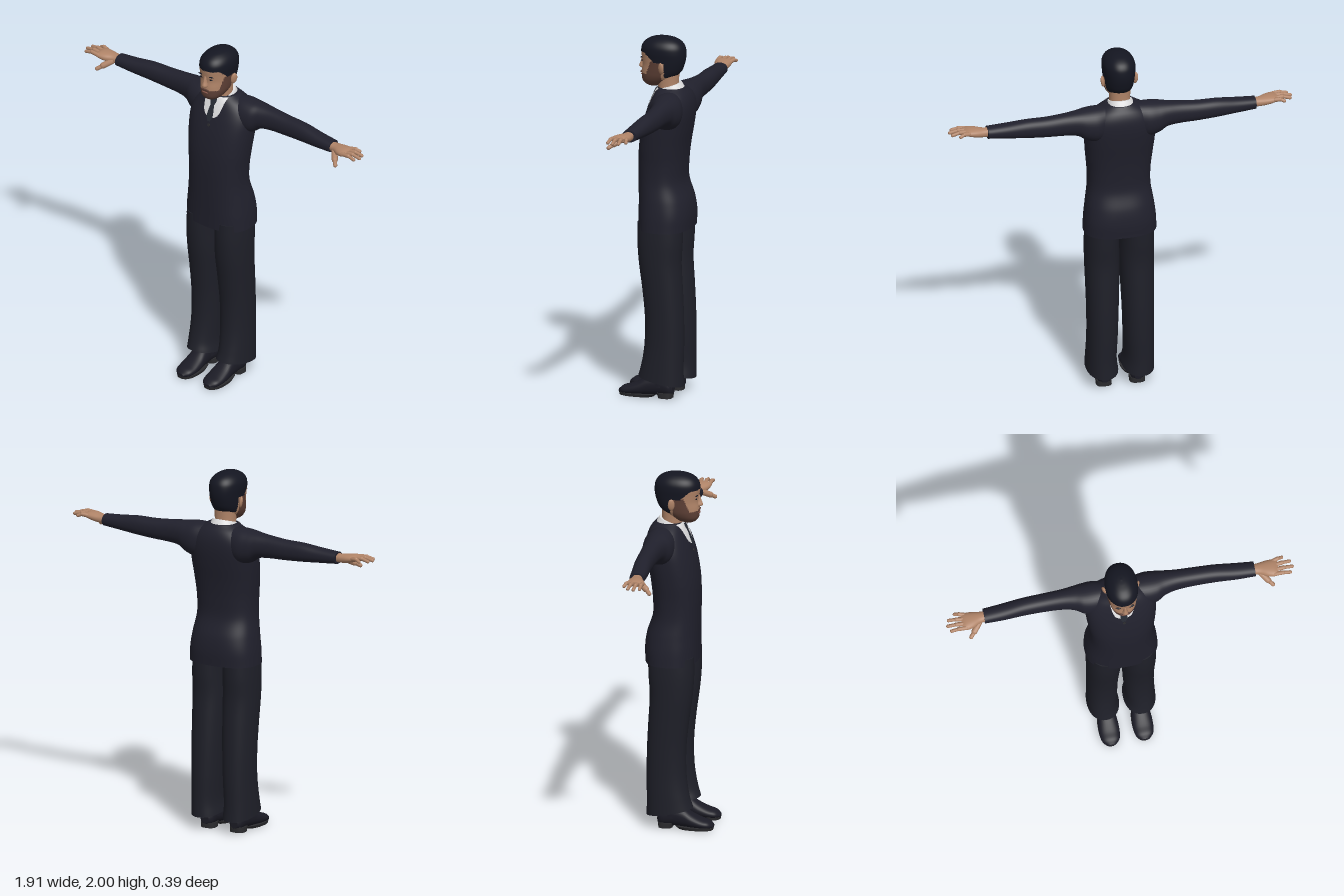
import * as THREE from 'three';

const colour = (name, hex) => {
  const m = new THREE.MeshStandardMaterial({ color: hex });
  m.name = name;
  return m;
};

// Smooth profile through rows of [s, u0, u1, v0, v1, roundness]
function profile(rows) {
  const a = new THREE.CatmullRomCurve3(rows.map(r => new THREE.Vector3(r[0], r[1], r[2])), false, 'catmullrom');
  const b = new THREE.CatmullRomCurve3(rows.map(r => new THREE.Vector3(r[3], r[4], r[5] ?? 2.2)), false, 'catmullrom');
  return t => [...a.getPoint(t).toArray(), ...b.getPoint(t).toArray()];
}

// Axis y: u = x, v = z.  Axis x: u = z, v = y.  Axis z: u = y, v = x.
const PLACE = {
  y: (s, u, v) => [u, s, v],
  x: (s, u, v) => [s, v, u],
  z: (s, u, v) => [v, u, s],
};

// Closed loft of rounded sections; classify picks a material index per triangle
function loft(rows, axis, { n = 40, m = 40, warp = null, classify = null } = {}) {
  const at = profile(rows), pos = [], faces = [];
  const add = p => { const q = warp ? warp(p) : p; pos.push(...q); };
  const pw = (c, e) => Math.sign(c) * Math.abs(c) ** e;
  const ring = t => {
    const [s, u0, u1, v0, v1, p] = at(t);
    for (let j = 0; j < n; j++) {
      const a = (j / n) * Math.PI * 2;
      add(PLACE[axis](s, (u0 + u1) / 2 + (u1 - u0) / 2 * pw(Math.cos(a), 2 / p),
        (v0 + v1) / 2 + (v1 - v0) / 2 * pw(Math.sin(a), 2 / p)));
    }
  };
  for (let i = 0; i <= m; i++) ring(i / m);
  for (let i = 0; i < m; i++) for (let j = 0; j < n; j++) {
    const a = i * n + j, b = i * n + (j + 1) % n;
    faces.push([a, a + n, b], [b, a + n, b + n]);
  }
  // end caps with their own vertices
  for (const t of [0, 1]) {
    const base = pos.length / 3, [s, u0, u1, v0, v1] = at(t);
    ring(t);
    add(PLACE[axis](s, (u0 + u1) / 2, (v0 + v1) / 2));
    for (let j = 0; j < n; j++) {
      const a = base + j, b = base + (j + 1) % n;
      faces.push(t ? [base + n, b, a] : [base + n, a, b]);
    }
  }
  const g = new THREE.BufferGeometry();
  g.setAttribute('position', new THREE.Float32BufferAttribute(pos, 3));
  const buckets = [[], [], []];
  for (const f of faces) {
    const c = [0, 1, 2].map(k => (pos[f[0] * 3 + k] + pos[f[1] * 3 + k] + pos[f[2] * 3 + k]) / 3);
    buckets[classify ? classify(...c) : 0].push(...f);
  }
  g.setIndex(buckets.flat());
  if (classify) {
    let start = 0;
    buckets.forEach((b, k) => { g.addGroup(start, b.length, k); start += b.length; });
  }
  g.computeVertexNormals();
  return g;
}

function mirrorX(geo) {
  const g = geo.clone().scale(-1, 1, 1), ix = g.index.array;
  for (let i = 0; i < ix.length; i += 3) [ix[i], ix[i + 1]] = [ix[i + 1], ix[i]];
  g.computeVertexNormals();
  return g;
}

// Front z of a vertical loft at a given x and y
function frontOf(rows) {
  const at = profile(rows);
  return (x, y) => {
    let lo = 0, hi = 1;
    for (let k = 0; k < 30; k++) { const t = (lo + hi) / 2; if (at(t)[0] < y) lo = t; else hi = t; }
    const [, u0, u1, v0, v1, p] = at(lo);
    const q = Math.min(1, Math.abs((x - (u0 + u1) / 2) / ((u1 - u0) / 2)));
    return (v0 + v1) / 2 + (v1 - v0) / 2 * (1 - q ** p) ** (1 / p);
  };
}

// Thin panel lying on a front surface; rows of [y, halfWidth], from the top down
function panel(rows, front, lift) {
  const nx = 16, ny = 30, g = new THREE.PlaneGeometry(1, 1, nx, ny), p = g.attributes.position;
  const curve = k => {
    const f = k * (rows.length - 1), i = Math.min(Math.floor(f), rows.length - 2), w = f - i;
    return rows[i].map((v, c) => v + (rows[i + 1][c] - v) * w);
  };
  for (let i = 0; i < p.count; i++) {
    const [y, hw] = curve(0.5 - p.getY(i)), x = p.getX(i) * 2 * hw;
    p.setXYZ(i, x, y, front(x, y) + lift);
  }
  g.computeVertexNormals();
  return g;
}

// Rounded finger segment between two points
function finger(a, b, r) {
  const A = new THREE.Vector3(...a), B = new THREE.Vector3(...b), d = B.clone().sub(A);
  const g = new THREE.CapsuleGeometry(r, d.length(), 5, 10);
  g.applyQuaternion(new THREE.Quaternion().setFromUnitVectors(new THREE.Vector3(0, 1, 0), d.normalize()));
  return g.translate(...A.add(B).multiplyScalar(0.5).toArray());
}

export function createModel() {
  const suit = colour('suit navy', 0x20202c), cloth = colour('trouser navy', 0x1e1f28);
  const hair = colour('hair black', 0x141621), skin = colour('skin', 0xb08468);
  const beard = colour('beard brown', 0x5e4036), white = colour('shirt white', 0xdededf);
  const tieMat = colour('tie dark', 0x262a33), leather = colour('shoe leather', 0x1b1b25);
  const soleMat = colour('sole grey', 0x2b2b2e), lip = colour('lips', 0x86564a);
  white.side = tieMat.side = THREE.DoubleSide;

  const model = new THREE.Group();
  model.name = 'standingMan';
  const add = (name, geo, mat) => {
    const mesh = new THREE.Mesh(geo, mat);
    mesh.name = name;
    model.add(mesh);
    return mesh;
  };
  const pair = (name, geo, mat) => {
    add(name + 'Left', geo, mat);
    add(name + 'Right', mirrorX(geo), mat);
  };

  // Jacket body
  const sym = (y, hw, back, front, p) => [y, -hw, hw, back, front, p];
  const body = [
    sym(0.94, 0.2, -0.19, 0.095, 2.5), sym(1.02, 0.196, -0.193, 0.096, 2.5), sym(1.1, 0.187, -0.183, 0.098, 2.4),
    sym(1.2, 0.173, -0.152, 0.1, 2.4), sym(1.3, 0.174, -0.152, 0.101, 2.4), sym(1.4, 0.184, -0.162, 0.096, 2.4),
    sym(1.5, 0.193, -0.178, 0.08, 2.4), sym(1.58, 0.195, -0.187, 0.058, 2.4), sym(1.64, 0.182, -0.185, 0.036, 2.3),
    sym(1.685, 0.145, -0.17, 0.017, 2.2), sym(1.72, 0.085, -0.142, 0, 2.1)];
  add('jacketBody', loft(body, 'y', { n: 64, m: 70 }), suit);
  const chest = frontOf(body);

  // Sleeves
  pair('sleeve', loft([
    [0.07, -0.16, -0.02, 1.53, 1.71], [0.14, -0.177, -0.005, 1.515, 1.712], [0.2, -0.173, -0.012, 1.53, 1.708],
    [0.25, -0.163, -0.035, 1.562, 1.703], [0.32, -0.155, -0.05, 1.572, 1.696], [0.42, -0.152, -0.055, 1.576, 1.688],
    [0.53, -0.147, -0.053, 1.582, 1.685], [0.64, -0.137, -0.047, 1.59, 1.672], [0.745, -0.128, -0.046, 1.598, 1.663]],
  'x', { m: 50 }), suit);

  // Hands
  pair('palm', loft([
    [0.73, -0.112, -0.058, 1.607, 1.655], [0.77, -0.115, -0.05, 1.607, 1.656], [0.81, -0.12, -0.03, 1.611, 1.66],
    [0.845, -0.12, -0.022, 1.62, 1.66], [0.87, -0.117, -0.024, 1.63, 1.653]], 'x', { n: 28, m: 20 }), skin);
  [[-0.11, -0.123, 0.9], [-0.085, -0.094, 0.938], [-0.059, -0.062, 0.947], [-0.034, -0.031, 0.932]].forEach(([z0, z1, tip], i) => {
    const mid = (0.855 + tip) / 2;
    pair('finger' + (i + 1), finger([0.85, 1.643, z0], [mid, 1.647, (z0 + z1) / 2], 0.0115), skin);
    pair('fingertip' + (i + 1), finger([mid, 1.647, (z0 + z1) / 2], [tip, 1.638, z1], 0.0095), skin);
  });
  pair('thumbBase', finger([0.775, 1.622, -0.06], [0.808, 1.598, -0.022], 0.017), skin);
  pair('thumbTip', finger([0.808, 1.598, -0.022], [0.83, 1.581, 0.001], 0.0115), skin);

  // Trousers, with the hem raised over the shoe
  const hem = ([x, y, z]) => [x, y + Math.max(0, 1 - (y - 0.095) / 0.12) * (z + 0.05) * 0.19, z];
  pair('trouserLeg', loft([
    [0.095, 0.012, 0.188, -0.172, 0.082], [0.17, 0.022, 0.186, -0.17, 0.065], [0.3, 0.018, 0.183, -0.172, 0.046],
    [0.45, 0.013, 0.184, -0.17, 0.044], [0.6, 0.007, 0.187, -0.163, 0.058], [0.75, 0.003, 0.19, -0.155, 0.078],
    [0.87, 0.005, 0.19, -0.162, 0.087], [0.98, 0.005, 0.185, -0.165, 0.087]], 'y', { m: 50, warp: hem }), cloth);

  // Shoes: upper, ankle, sole and heel
  pair('shoeUpper', loft([
    [-0.112, 0.025, 0.075, 0.07, 0.115], [-0.09, 0.012, 0.11, 0.05, 0.135], [-0.03, 0.012, 0.125, 0.05, 0.137],
    [0.03, 0.008, 0.115, 0.043, 0.142], [0.08, 0.006, 0.085, 0.037, 0.148], [0.13, 0.006, 0.062, 0.037, 0.148],
    [0.17, 0.006, 0.05, 0.046, 0.139], [0.195, 0.012, 0.03, 0.072, 0.112]], 'z', { n: 32, m: 32 }), leather);
  pair('ankle', loft([
    [0.06, 0.047, 0.138, -0.1, 0.035], [0.11, 0.05, 0.136, -0.098, 0.03], [0.16, 0.055, 0.132, -0.095, 0.01]],
  'y', { n: 28, m: 8 }), leather);
  pair('sole', loft([[0, 0.04, 0.145, 0, 0.193, 2.4], [0.016, 0.036, 0.149, -0.02, 0.197, 2.4]], 'y', { m: 2 }), soleMat);
  pair('heel', loft([[0, 0.05, 0.136, -0.108, -0.03, 2.8], [0.03, 0.05, 0.136, -0.11, -0.02, 2.8]], 'y', { m: 2 }), soleMat);

  // Shirt front, tie and button
  add('shirtFront', panel([[1.718, 0.07], [1.69, 0.064], [1.665, 0.06], [1.64, 0.054], [1.622, 0.045], [1.608, 0.028], [1.6, 0.004]],
    chest, 0.005), white);
  add('tie', panel([[1.712, 0.016], [1.695, 0.021], [1.672, 0.012], [1.64, 0.018], [1.61, 0.021], [1.585, 0.008]],
    chest, 0.011), tieMat);
  const button = new THREE.CylinderGeometry(0.008, 0.008, 0.005, 14).rotateX(Math.PI / 2 - 0.25);
  add('button', button.translate(0, 1.56, chest(0, 1.56) + 0.002), soleMat);

  // Collar, higher at the nape, and neck
  const tilt = ([x, y, z]) => [x, y - (z + 0.06) * 0.3, z];
  add('collar', loft([sym(1.68, 0.082, -0.145, 0.012), sym(1.705, 0.074, -0.134, 0.012), sym(1.728, 0.066, -0.122, 0.006)],
    'y', { m: 12, warp: tilt }), white);
  add('neck', loft([sym(1.68, 0.058, -0.112, 0), sym(1.74, 0.057, -0.108, 0.005), sym(1.81, 0.06, -0.11, 0.01)],
    'y', { m: 12 }), skin);

  // Head, split into skin, hair and beard
  const skull = [
    sym(1.72, 0.02, 0.01, 0.06), sym(1.732, 0.042, -0.025, 0.08), sym(1.752, 0.06, -0.058, 0.094),
    sym(1.78, 0.073, -0.098, 0.097), sym(1.81, 0.079, -0.126, 0.096), sym(1.845, 0.083, -0.14, 0.092),
    sym(1.88, 0.086, -0.148, 0.096), sym(1.915, 0.089, -0.149, 0.1), sym(1.945, 0.086, -0.143, 0.095),
    sym(1.97, 0.072, -0.125, 0.077), sym(1.988, 0.049, -0.095, 0.046), sym(1.997, 0.025, -0.06, 0.01), sym(2, 0.004, -0.03, -0.022)];
  const headZones = (x, y, z) => {
    const hairline = z > 0.06 ? 1.912 : z > 0.01 ? 1.87 + (z - 0.01) * 0.84 : z > -0.05 ? 1.865 : 1.782;
    if (y > hairline) return 1;
    const jaw = z > 0.055 ? 1.793 : z > 0.025 ? 1.793 + (0.055 - z) * 2.6 : 1.87;
    return z > -0.035 && y < jaw ? 2 : 0;
  };
  add('head', loft(skull, 'y', { n: 96, m: 110, classify: headZones }), [skin, hair, beard]);
  const face = frontOf(skull);

  // Face details
  add('nose', loft([sym(1.812, 0.011, 0.075, 0.102), sym(1.822, 0.016, 0.075, 0.116), sym(1.845, 0.01, 0.075, 0.109),
    sym(1.878, 0.007, 0.075, 0.099)], 'y', { n: 20, m: 14 }), skin);
  const blob = (x, y, sx, sy, sz) => new THREE.SphereGeometry(1, 18, 10).scale(sx, sy, sz).translate(x, y, face(x, y));
  pair('eye', blob(0.032, 1.861, 0.012, 0.0045, 0.004), hair);
  pair('eyebrow', blob(0.033, 1.88, 0.019, 0.0035, 0.005), hair);
  add('moustache', blob(0, 1.795, 0.032, 0.006, 0.005), beard);
  add('mouth', blob(0, 1.779, 0.022, 0.0045, 0.005), lip);
  pair('ear', new THREE.SphereGeometry(1, 18, 12).scale(0.01, 0.033, 0.019).rotateY(-0.45)
    .rotateZ(-0.15).translate(0.091, 1.838, -0.04), skin);

  return model;
}
